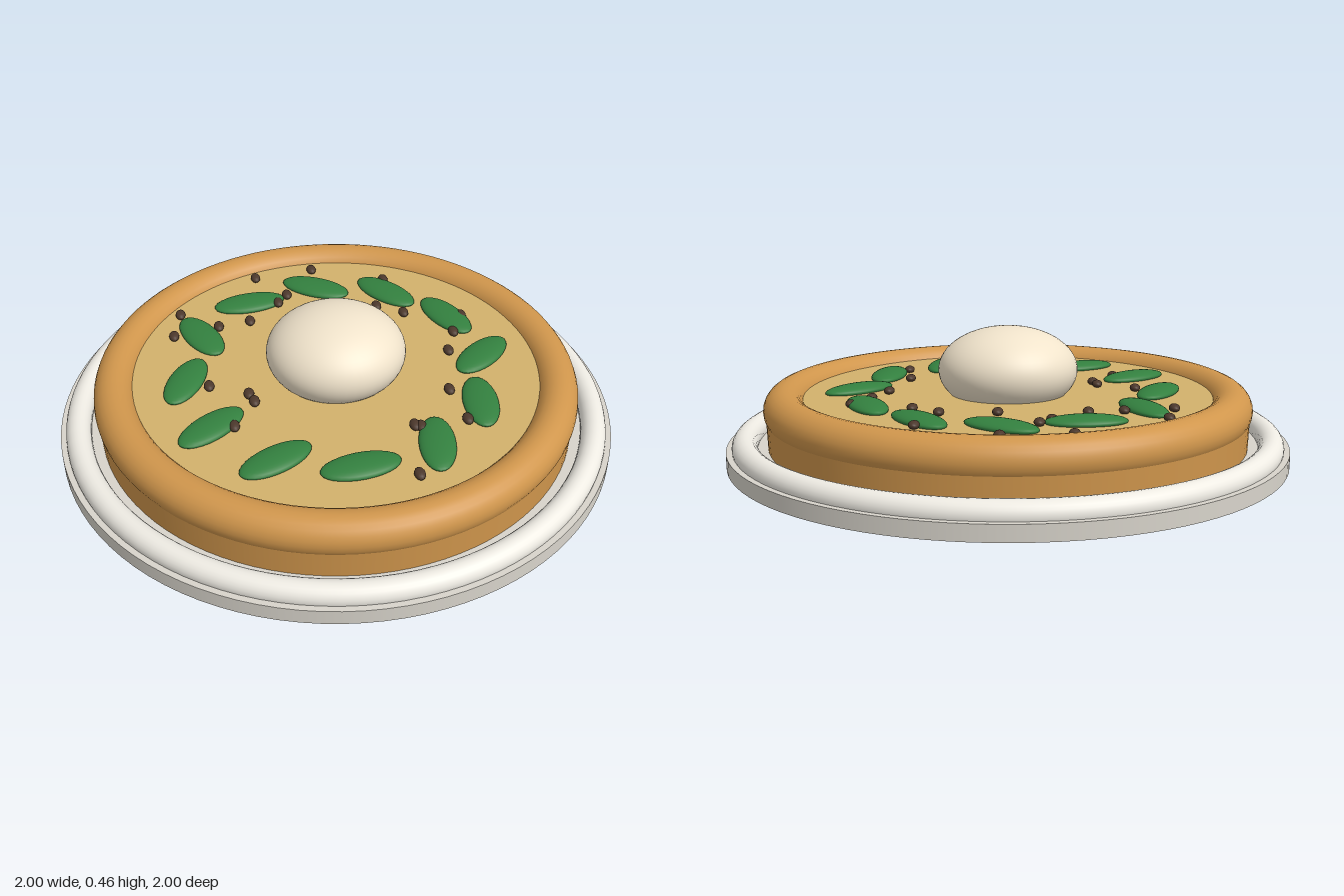
import * as THREE from 'three';

const mat = (color) => new THREE.MeshStandardMaterial({ color });

function add(parent, name, geometry, material, x = 0, y = 0, z = 0) {
  const mesh = new THREE.Mesh(geometry, material);
  mesh.name = name;
  mesh.position.set(x, y, z);
  parent.add(mesh);
  return mesh;
}

// Flat-lying ring
const ring = (radius, tube) => new THREE.TorusGeometry(radius, tube, 24, 96).rotateX(Math.PI / 2);

// Disc standing on its own base height
const disc = (top, bottom, height) => new THREE.CylinderGeometry(top, bottom, height, 96);

export function createModel() {
  const model = new THREE.Group();
  model.name = 'pie';
  const crust = mat(0xd0964c);

  // Plate with rounded rim
  add(model, 'plate', disc(1, 1, 0.055), mat(0xd8d4cb), 0, 0.0275, 0);
  add(model, 'plateRim', ring(0.935, 0.045), mat(0xeeebe3), 0, 0.064, 0);

  // Pastry base, rolled edge and filling
  add(model, 'crustBase', disc(0.86, 0.855, 0.135), crust, 0, 0.1175, 0);
  add(model, 'crustEdge', ring(0.795, 0.073), crust, 0, 0.187, 0);
  add(model, 'filling', disc(0.75, 0.75, 0.05), mat(0xd2b16c), 0, 0.195, 0);

  // Central dome
  add(model, 'dome', new THREE.SphereGeometry(1, 48, 32), mat(0xf0e3cb), 0, 0.305, 0)
    .scale.set(0.25, 0.155, 0.242);

  // Leaves in a ring, each with its own turn in degrees
  const leaves = new THREE.Group();
  leaves.name = 'leaves';
  const leafGeometry = new THREE.SphereGeometry(1, 28, 16).scale(0.138, 0.022, 0.063);
  const leafMaterial = mat(0x33803f);
  const turns = [-42, 95, 98, -8, -28, -38, -65, 66, -8, 30, 51, 65];
  turns.forEach((turn, i) => {
    const a = (i * Math.PI) / 6;
    add(leaves, 'leaf', leafGeometry, leafMaterial, 0.54 * Math.cos(a), 0.226, 0.54 * Math.sin(a))
      .rotation.y = -THREE.MathUtils.degToRad(turn);
  });
  model.add(leaves);

  // Scattered seeds
  const seeds = new THREE.Group();
  seeds.name = 'seeds';
  const seedGeometry = new THREE.SphereGeometry(1, 14, 10).scale(0.019, 0.014, 0.029);
  const seedMaterial = mat(0x4c382c);
  const spots = [
    [-0.23, -0.64], [0, -0.67], [0.275, -0.555], [-0.12, -0.5], [-0.16, -0.45], [-0.54, -0.42],
    [-0.57, -0.28], [-0.4, -0.32], [-0.28, -0.34], [0.02, -0.36], [0.215, -0.37], [0.31, -0.31],
    [0.525, -0.26], [0.47, -0.155], [0.425, -0.04], [-0.46, 0.045], [-0.325, 0.11], [-0.31, 0.155],
    [-0.39, 0.28], [0.375, 0.19], [0.215, 0.365], [0.235, 0.375], [0.4, 0.36], [0.18, 0.61],
  ];
  for (const [x, z] of spots) add(seeds, 'seed', seedGeometry, seedMaterial, x, 0.23, z);
  model.add(seeds);

  return model;
}
